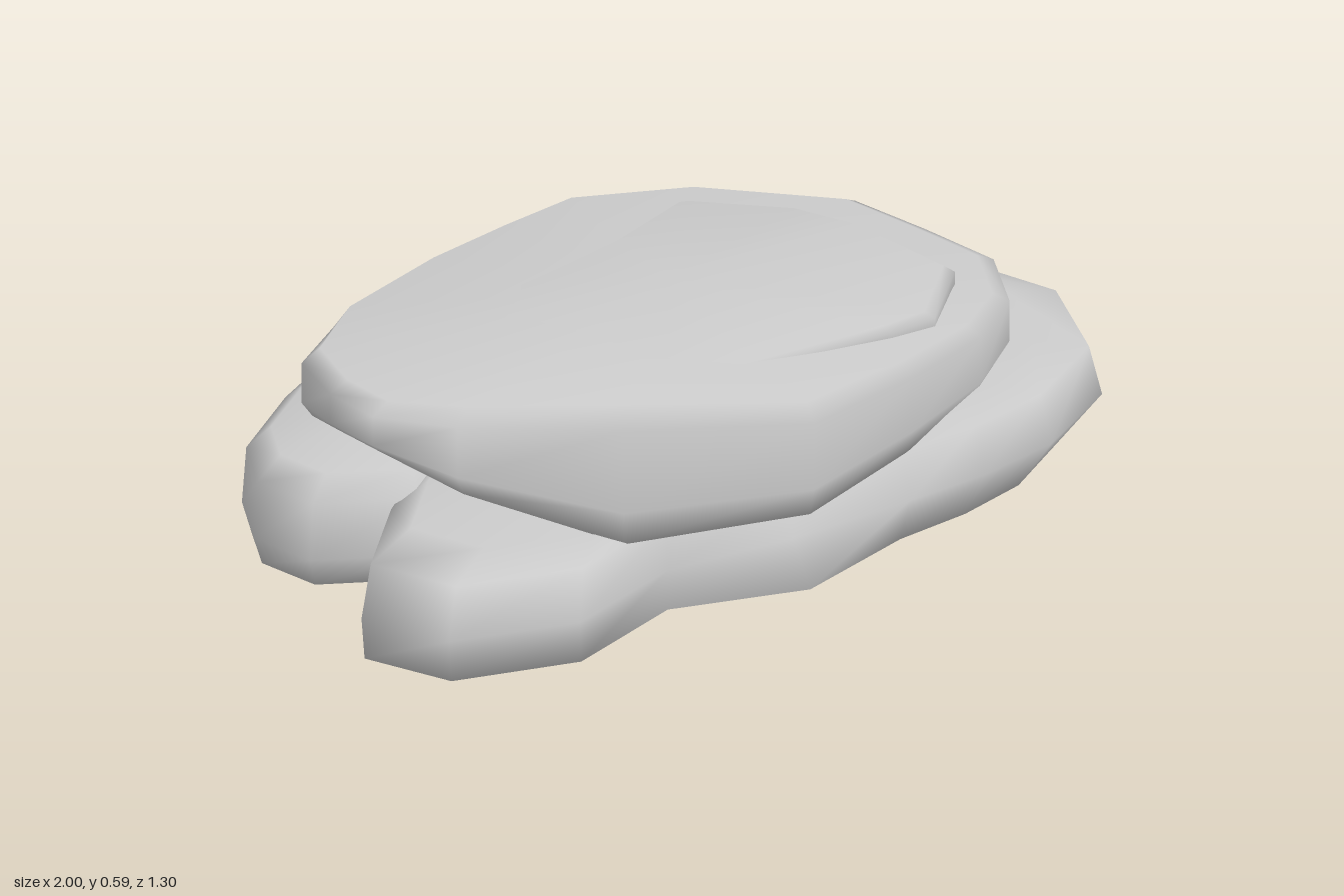
import * as THREE from 'three';

// Smooth boulder from an [x, z] outline running right, back, left, front.
// Each level is [scale about the centre, height 0..1 between bottom and top].
function rock(name, [cx, cz], outline, levels, bottom, top, dome, reach = () => 1) {
  const n = outline.length, pos = [], idx = [];
  levels.forEach(([s, t]) => outline.forEach(([px, pz]) => {
    const f = s * (1 + (reach(px, pz) - 1) * Math.max(0, 1 - t * 2.5));
    const b = bottom(px, pz);
    pos.push(cx + (px - cx) * f, b + (top(px, pz) - b) * t, cz + (pz - cz) * f);
  }));
  for (let j = 0; j < levels.length - 1; j++) {
    for (let i = 0; i < n; i++) {
      const a = j * n + i, b = j * n + (i + 1) % n;
      idx.push(a, b, b + n, a, b + n, a + n);
    }
  }
  // domed top and flat underside
  const last = (levels.length - 1) * n, crown = levels.length * n;
  pos.push(cx, top(cx, cz) + dome, cz, cx, bottom(cx, cz), cz);
  for (let i = 0; i < n; i++) {
    const next = (i + 1) % n;
    idx.push(last + i, last + next, crown, next, i, crown + 1);
  }

  const geo = new THREE.BufferGeometry();
  geo.setAttribute('position', new THREE.Float32BufferAttribute(pos, 3));
  geo.setIndex(idx);
  geo.computeVertexNormals();
  const mesh = new THREE.Mesh(geo, new THREE.MeshStandardMaterial({ color: 0xcccccc }));
  mesh.name = name;
  return mesh;
}

export function createModel() {
  const group = new THREE.Group();
  group.name = 'rockFormation';

  // wide base slab, spreading at the foot of its front
  group.add(rock('baseSlab', [0, 0.05], [
    [1, 0.12], [0.93, -0.16], [0.8, -0.34], [0.65, -0.45], [0.4, -0.53], [0.1, -0.575],
    [0, -0.49], [-0.3, -0.25], [-0.78, 0.08], [-0.99, 0.27], [-0.92, 0.47], [-0.65, 0.565],
    [-0.35, 0.48], [-0.05, 0.52], [0.25, 0.53], [0.45, 0.53], [0.65, 0.5], [0.88, 0.38],
  ], [[0.85, 0], [0.99, 0], [1, 0.4], [0.97, 0.88], [0.84, 1.02]],
  () => 0, (x) => 0.225 + 0.01 * Math.abs(x), 0,
  (x) => 1 - 0.12 * Math.max(0, x) + 0.16 * Math.max(0, 1 - Math.abs(x + 0.03) * 4)));

  // smaller rounded boulder at the back
  group.add(rock('backBoulder', [-0.5, -0.25], [
    [0, -0.5], [-0.14, -0.65], [-0.35, -0.59], [-0.6, -0.47], [-0.82, -0.33],
    [-0.91, -0.18], [-0.89, -0.02], [-0.7, 0.1], [-0.3, -0.15],
  ], [[0.6, 0], [0.94, 0.08], [1, 0.35], [0.97, 0.85], [0.8, 1]],
  (x, z) => Math.max(0.005, -0.03 - 0.09 * z), () => 0.25, 0.01));

  // tilted slab, its left end rising into an overhanging lip
  group.add(rock('tiltedSlab', [0, 0.05], [
    [0.82, 0.1], [0.8, -0.1], [0.77, -0.29], [0.5, -0.48], [0.2, -0.53], [-0.05, -0.45],
    [-0.33, -0.35], [-0.7, -0.18], [-0.93, 0], [-1, 0.18], [-1, 0.32], [-0.85, 0.41],
    [-0.5, 0.52], [-0.1, 0.65], [0.25, 0.54], [0.52, 0.43], [0.7, 0.3],
  ], [[0.97, 0], [1, 0.25], [1, 0.85], [0.95, 1]],
  (x) => 0.2 + 0.7 * Math.max(0, -0.6 - x),
  (x, z) => 0.45 - 0.14 * x - 0.04 * Math.max(0, z - 0.3), 0.02));

  // ledge on the upper surface, stepped at front and right, fading out behind
  group.add(rock('topLedge', [0, 0.05], [
    [0.62, 0.22], [0.585, -0.04], [0.55, -0.2], [0.42, -0.4], [0.2, -0.47], [-0.1, -0.38],
    [-0.45, -0.23], [-0.7, 0.02], [-0.68, 0.3], [-0.32, 0.46], [-0.08, 0.43], [0.3, 0.41], [0.43, 0.39],
  ], [[1, 0], [1, 0.85], [0.96, 1]],
  (x) => 0.37 - 0.14 * x,
  (x, z) => 0.475 - 0.09 * x - 0.05 * Math.max(0, z) - 0.14 * Math.max(0, -z - 0.1), 0.025));

  return group;
}
